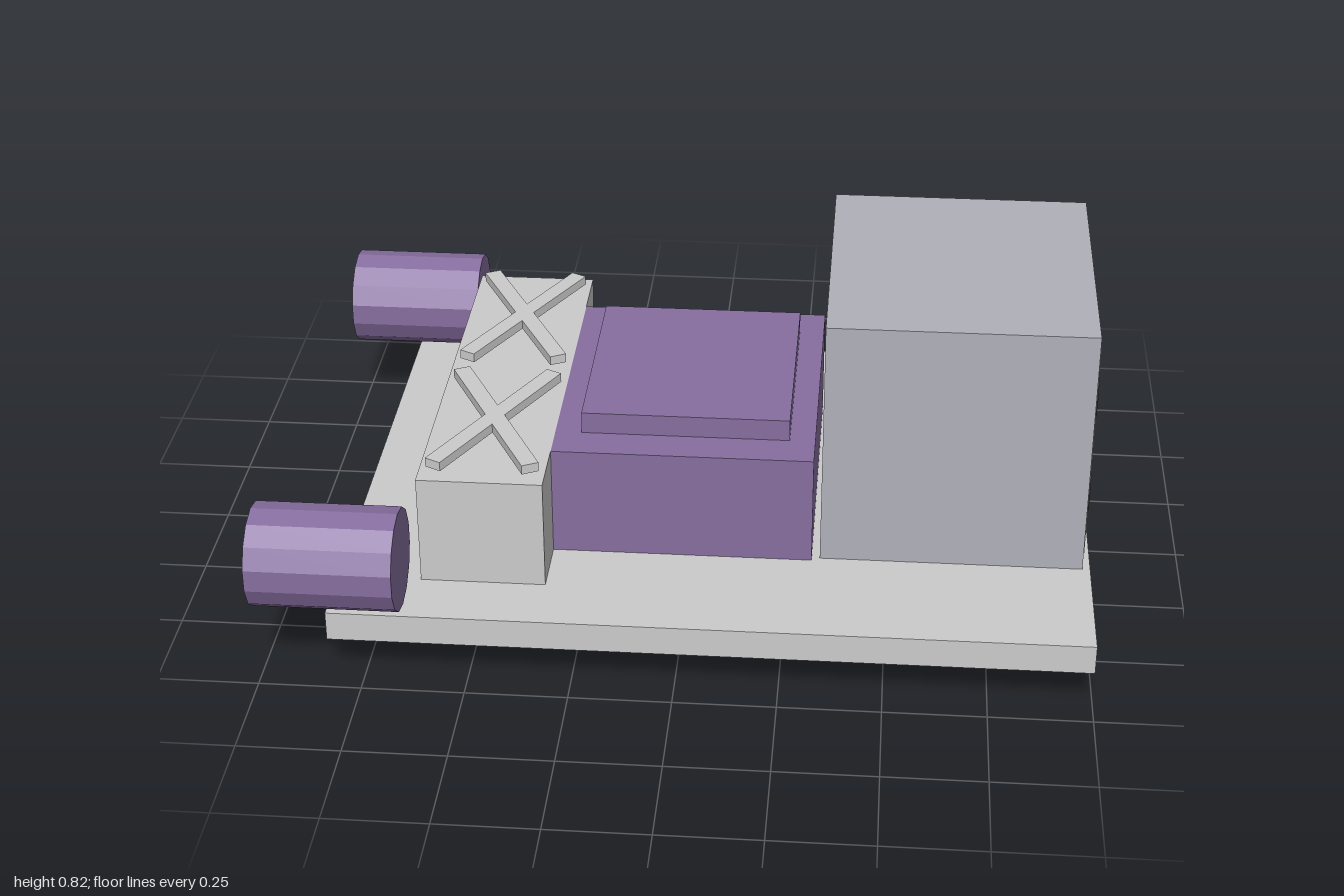
import * as THREE from 'three';

const material = (color) => new THREE.MeshStandardMaterial({ color, flatShading: true });

export function createModel() {
  const model = new THREE.Group();
  const grey = material(0xcccccc);
  const steel = material(0xb0b0b9);
  const purple = material(0x876ea0);
  const dark = material(0x303030);

  function add(name, geometry, mat, x, y, z) {
    const mesh = new THREE.Mesh(geometry, mat);
    mesh.name = name;
    mesh.position.set(x, y, z);
    model.add(mesh);
    return mesh;
  }

  // Box given by its x and y extents and its full depth, centred on z = 0
  function block(name, mat, x0, x1, y0, y1, depth) {
    return add(name, new THREE.BoxGeometry(x1 - x0, y1 - y0, depth), mat, (x0 + x1) / 2, (y0 + y1) / 2, 0);
  }

  // Round foot and deck
  add('turntable', new THREE.CylinderGeometry(0.45, 0.45, 0.109, 24), grey, -0.165, 0.0545, 0);
  block('deck', grey, -0.835, 0.998, 0.108, 0.183, 1.412);

  // Central housing with raised hatch
  block('housing', purple, -0.325, 0.315, 0.183, 0.465, 0.766);
  block('hatch', purple, -0.26, 0.252, 0.465, 0.52, 0.572);

  // Rear machinery box with a pair of crossed bars
  block('machineryBox', grey, -0.63, -0.325, 0.183, 0.465, 1.086);
  for (const z of [-0.273, 0.273]) {
    for (const side of [-1, 1]) {
      const bar = add('crossBar', new THREE.BoxGeometry(0.043, 0.024, 0.518), grey, -0.476, 0.487, z);
      bar.rotation.y = side * 0.472;
    }
  }

  // Launcher box with end panel and four tube mouths
  block('launcherBox', steel, 0.335, 0.979, 0.183, 0.825, 0.744);
  block('launcherPanel', grey, 0.965, 0.985, 0.197, 0.769, 0.64);
  for (const y of [0.346, 0.615]) {
    for (const z of [-0.157, 0.157]) {
      const mouth = add('tubeMouth', new THREE.CylinderGeometry(0.124, 0.124, 0.02, 24), dark, 0.981, y, z);
      mouth.rotation.z = -Math.PI / 2;
    }
  }

  // Side drums, turned so a corner points straight up
  for (const side of [-1, 1]) {
    const geometry = new THREE.CylinderGeometry(0.126, 0.126, 0.35, 14);
    geometry.rotateY(Math.PI / 2).rotateZ(Math.PI / 2);
    add('sideDrum', geometry, purple, -0.825, 0.325, side * 0.675);
  }

  return model;
}
